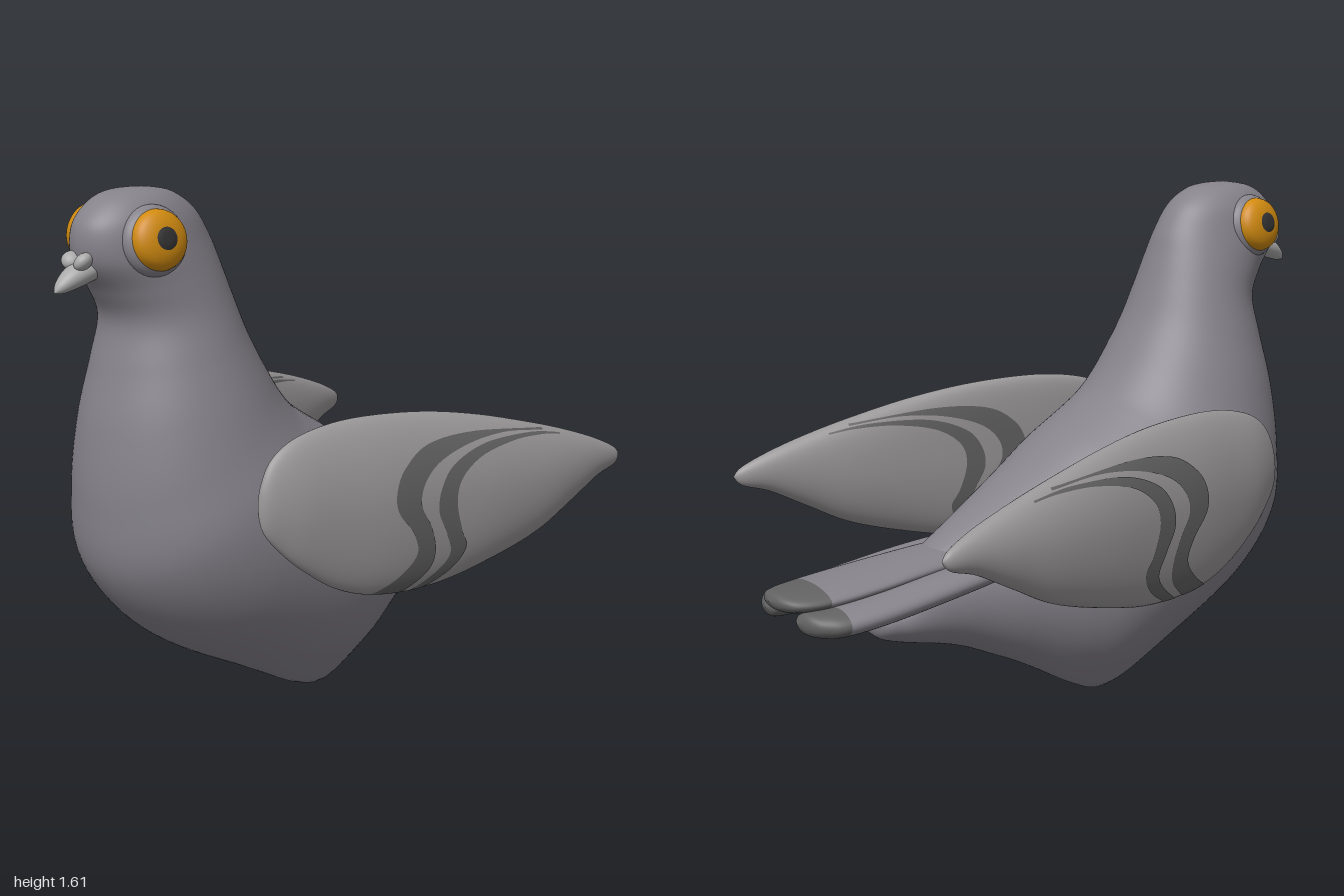
import * as THREE from 'three';

const mat = (color, side = THREE.FrontSide) => new THREE.MeshStandardMaterial({ color, side });
const plumage = mat(0x85828a);
const wingGrey = mat(0x999697);
const darkGrey = mat(0x626262, THREE.DoubleSide);
const orange = mat(0xd08a10);
const pupilGrey = mat(0x333333);
const beakGrey = mat(0xaaa9a9);

function add(parent, name, geometry, material) {
  const mesh = new THREE.Mesh(geometry, material);
  mesh.name = name;
  parent.add(mesh);
  return mesh;
}

// Catmull-Rom blend of a table of rows; u counts rows
function sample(rows, u) {
  const last = rows.length - 1;
  const i = Math.min(Math.floor(u), last - 1), t = u - i;
  const [a, b, c, d] = [-1, 0, 1, 2].map(k => rows[THREE.MathUtils.clamp(i + k, 0, last)]);
  return b.map((_, k) => 0.5 * (2 * b[k] + (c[k] - a[k]) * t
    + (2 * a[k] - 5 * b[k] + 4 * c[k] - d[k]) * t * t
    + (3 * b[k] - a[k] - 3 * c[k] + d[k]) * t * t * t));
}

// Grid of points to an indexed smooth surface
function grid(points, rowsCount, cols, wrap) {
  const index = [];
  const stop = wrap ? cols : cols - 1;
  for (let i = 0; i < rowsCount - 1; i++) {
    for (let j = 0; j < stop; j++) {
      const k = (j + 1) % cols;
      const a = i * cols + j, b = i * cols + k, c = a + cols, d = b + cols;
      index.push(a, b, c, b, d, c);
    }
  }
  const g = new THREE.BufferGeometry();
  g.setAttribute('position', new THREE.Float32BufferAttribute(points, 3));
  g.setIndex(index);
  g.computeVertexNormals();
  return g;
}

// Elliptical loft; row = [centre x, half width, z and y of lower end, z and y of upper end]
function loft(rows, { side = 1, from = 0, to = rows.length - 1, steps = 8, cols = 40, shape } = {}) {
  const n = Math.round((to - from) * steps);
  const points = [];
  for (let i = 0; i <= n; i++) {
    const [x, w, z1, y1, z2, y2] = sample(rows, from + (to - from) * i / n);
    for (let j = 0; j < cols; j++) {
      const t = j / cols * Math.PI * 2, c = Math.cos(t);
      const p = [side * x + w * Math.sin(t), (y1 + y2) / 2 + c * (y2 - y1) / 2, (z1 + z2) / 2 + c * (z2 - z1) / 2];
      if (shape) shape(p, side);
      points.push(...p);
    }
  }
  return grid(points, n + 1, cols, true);
}

const upright = rows => rows.map(([x, w, z, low, high]) => [x, w, z, low, z, high]);

// Body from crown to rump: [0, half width, front z, y, back z, y]
const bodyRows = [
  [0, 0, 0.725, 1.611, 0.725, 1.611], [0, 0.06, 0.81, 1.597, 0.65, 1.607],
  [0, 0.102, 0.87, 1.56, 0.58, 1.59], [0, 0.135, 0.91, 1.5, 0.51, 1.54],
  [0, 0.157, 0.905, 1.41, 0.46, 1.46], [0, 0.175, 0.84, 1.32, 0.43, 1.38],
  [0, 0.197, 0.797, 1.23, 0.395, 1.28], [0, 0.232, 0.82, 1.1, 0.355, 1.18],
  [0, 0.277, 0.86, 0.92, 0.3, 1.08], [0, 0.318, 0.877, 0.7, 0.255, 1.01],
  [0, 0.36, 0.845, 0.48, 0.21, 0.955], [0, 0.383, 0.68, 0.28, 0.165, 0.92],
  [0, 0.385, 0.4, 0.11, 0.11, 0.885], [0, 0.365, 0.15, 0.004, 0.03, 0.838],
  [0, 0.32, 0, 0.027, -0.095, 0.75], [0, 0.235, -0.2, 0.125, -0.27, 0.637],
  [0, 0.142, -0.37, 0.2, -0.485, 0.505], [0, 0.105, -0.58, 0.25, -0.59, 0.4],
  [0, 0.08, -0.65, 0.278, -0.657, 0.375], [0, 0, -0.667, 0.325, -0.667, 0.325],
];

// Two lobes under the belly with a groove between them
function bellyLobes(p) {
  const bell = (v, s) => Math.exp(-((v / s) ** 2));
  const k = bell(p[2] - 0.12, 0.26) * THREE.MathUtils.clamp(1 - p[1] / 0.35, 0, 1);
  p[1] += k * (0.05 * bell(p[0], 0.078) - 0.036 * bell(Math.abs(p[0]) - 0.138, 0.065));
}

// Wing from shoulder to tip: [x, half thickness, z, lower y, upper y]
const wingRows = upright([
  [0.397, 0, 0.612, 0.72, 0.72], [0.405, 0.016, 0.6, 0.655, 0.79],
  [0.417, 0.03, 0.56, 0.6, 0.86], [0.436, 0.045, 0.48, 0.525, 0.908],
  [0.459, 0.058, 0.35, 0.44, 0.935], [0.487, 0.068, 0.2, 0.396, 0.94],
  [0.52, 0.074, 0, 0.39, 0.925], [0.555, 0.078, -0.2, 0.425, 0.89],
  [0.585, 0.074, -0.4, 0.48, 0.84], [0.605, 0.06, -0.55, 0.553, 0.796],
  [0.62, 0.04, -0.68, 0.618, 0.75], [0.632, 0.02, -0.77, 0.646, 0.708],
  [0.636, 0, -0.8, 0.678, 0.678],
]);

// Upper part of each wing curls in towards the back
const lean = y => -0.42 * Math.max(0, y - 0.66) ** 2;
function leanIn(p, side) {
  p[0] += side * lean(p[1]);
}

// Wing bands: [front z, y, back z, y] from lower edge to the thin rear end
const bands = [
  [[0.26, 0.4, 0.15, 0.385], [0.17, 0.455, 0.065, 0.455], [0.118, 0.52, 0.05, 0.52],
    [0.14, 0.59, 0.075, 0.6], [0.195, 0.66, 0.113, 0.67], [0.2, 0.725, 0.097, 0.735],
    [0.16, 0.79, 0.03, 0.79], [0.06, 0.845, -0.1, 0.828], [-0.13, 0.857, -0.25, 0.838],
    [-0.42, 0.825, -0.42, 0.818]],
  [[0.12, 0.385, 0.07, 0.385], [0.03, 0.445, -0.03, 0.445], [-0.01, 0.5, -0.07, 0.51],
    [0.015, 0.57, -0.043, 0.57], [0.048, 0.64, -0.02, 0.66], [0.037, 0.71, -0.043, 0.73],
    [-0.02, 0.775, -0.13, 0.785], [-0.155, 0.82, -0.27, 0.81], [-0.35, 0.822, -0.4, 0.808],
    [-0.49, 0.8, -0.49, 0.795]],
];

// Point on the outer (face 1) or inner (face -1) wing surface at z, y
function onWing(z, y, side, face) {
  let a = 0, b = wingRows.length - 1;
  for (let i = 0; i < 24; i++) {
    const m = (a + b) / 2;
    if (sample(wingRows, m)[2] > z) a = m; else b = m;
  }
  const [x, w, , low, , high] = sample(wingRows, a);
  const mid = (low + high) / 2, half = (high - low) / 2;
  const s = THREE.MathUtils.clamp((y - mid) / half, -0.985, 0.985);
  const height = mid + s * half;
  return [side * (x + lean(height) + face * (w * Math.sqrt(1 - s * s) + 0.003)), height, z];
}

function bandGeometry(rows, side, face) {
  const n = 72, cols = 7, points = [];
  for (let i = 0; i <= n; i++) {
    const [z1, y1, z2, y2] = sample(rows, (rows.length - 1) * i / n);
    for (let j = 0; j < cols; j++) {
      const t = j / (cols - 1);
      points.push(...onWing(z1 + (z2 - z1) * t, y1 + (y2 - y1) * t, side, face));
    }
  }
  return grid(points, n + 1, cols, false);
}

const middleFeather = upright([
  [0, 0.09, -0.2, 0.47, 0.55], [0, 0.115, -0.45, 0.455, 0.528], [0, 0.135, -0.7, 0.43, 0.499],
  [0, 0.13, -0.86, 0.413, 0.483], [0, 0.105, -0.945, 0.412, 0.476], [0, 0.06, -0.985, 0.425, 0.47],
  [0, 0, -1, 0.45, 0.45],
]);
const sideFeather = upright([
  [0.15, 0.065, -0.22, 0.455, 0.52], [0.157, 0.077, -0.45, 0.415, 0.495], [0.161, 0.08, -0.7, 0.375, 0.457],
  [0.152, 0.078, -0.85, 0.357, 0.438], [0.135, 0.066, -0.91, 0.358, 0.433], [0.115, 0.045, -0.945, 0.37, 0.427],
  [0.1, 0, -0.962, 0.4, 0.4],
]);

function addFeather(parent, name, rows, side) {
  add(parent, name, loft(rows, { side, to: 3 }), plumage);
  add(parent, name + 'Tip', loft(rows, { side, from: 3 }), darkGrey);
}

const beakRows = [
  [0, 0, 1, 1.337, 1, 1.337], [0, 0.021, 0.97, 1.334, 0.985, 1.367],
  [0, 0.038, 0.92, 1.345, 0.95, 1.4], [0, 0.045, 0.87, 1.36, 0.9, 1.425],
];

// Round profile turned about the local y axis
function turned(profile) {
  const curve = new THREE.SplineCurve(profile.map(([r, y]) => new THREE.Vector2(r, y)));
  return new THREE.LatheGeometry(curve.getPoints(20), 40);
}

// Bulging eye on a socket, local y pointing out of the head
function makeEye(side) {
  const eye = new THREE.Group();
  eye.name = side > 0 ? 'leftEye' : 'rightEye';
  const socket = add(eye, 'socket', new THREE.SphereGeometry(1, 40, 24), plumage);
  socket.scale.set(0.102, 0.05, 0.102);
  socket.position.y = -0.018;
  add(eye, 'eyeball', turned([[0.075, -0.03], [0.087, 0], [0.077, 0.032], [0.045, 0.05], [0, 0.056]]), orange);
  add(eye, 'pupil', turned([[0.034, 0.052], [0.018, 0.057], [0, 0.058]]), pupilGrey);
  eye.position.set(side * 0.141, 1.473, 0.745);
  eye.quaternion.setFromUnitVectors(new THREE.Vector3(0, 1, 0),
    new THREE.Vector3(side, 0.2, 0.14).normalize());
  return eye;
}

export function createModel() {
  const bird = new THREE.Group();
  bird.name = 'bird';
  add(bird, 'body', loft(bodyRows, { cols: 96, shape: bellyLobes }), plumage);
  add(bird, 'beak', loft(beakRows), beakGrey);
  addFeather(bird, 'middleTailFeather', middleFeather, 1);

  for (const side of [1, -1]) {
    const label = side > 0 ? 'left' : 'right';
    const wing = new THREE.Group();
    wing.name = label + 'Wing';
    add(wing, 'wingBlade', loft(wingRows, { side, cols: 56, shape: leanIn }), wingGrey);
    for (const rows of bands) {
      for (const face of [1, -1]) add(wing, 'wingBand', bandGeometry(rows, side, face), darkGrey);
    }
    bird.add(wing, makeEye(side));
    addFeather(bird, label + 'TailFeather', sideFeather, side);

    // Nostril lobe above the beak
    const lobe = add(bird, label + 'NostrilLobe', new THREE.SphereGeometry(1, 24, 16), beakGrey);
    lobe.scale.set(0.03, 0.022, 0.03);
    lobe.position.set(side * 0.025, 1.418, 0.915);
    lobe.rotation.set(0.5, 0, side * 0.6);
  }
  return bird;
}
